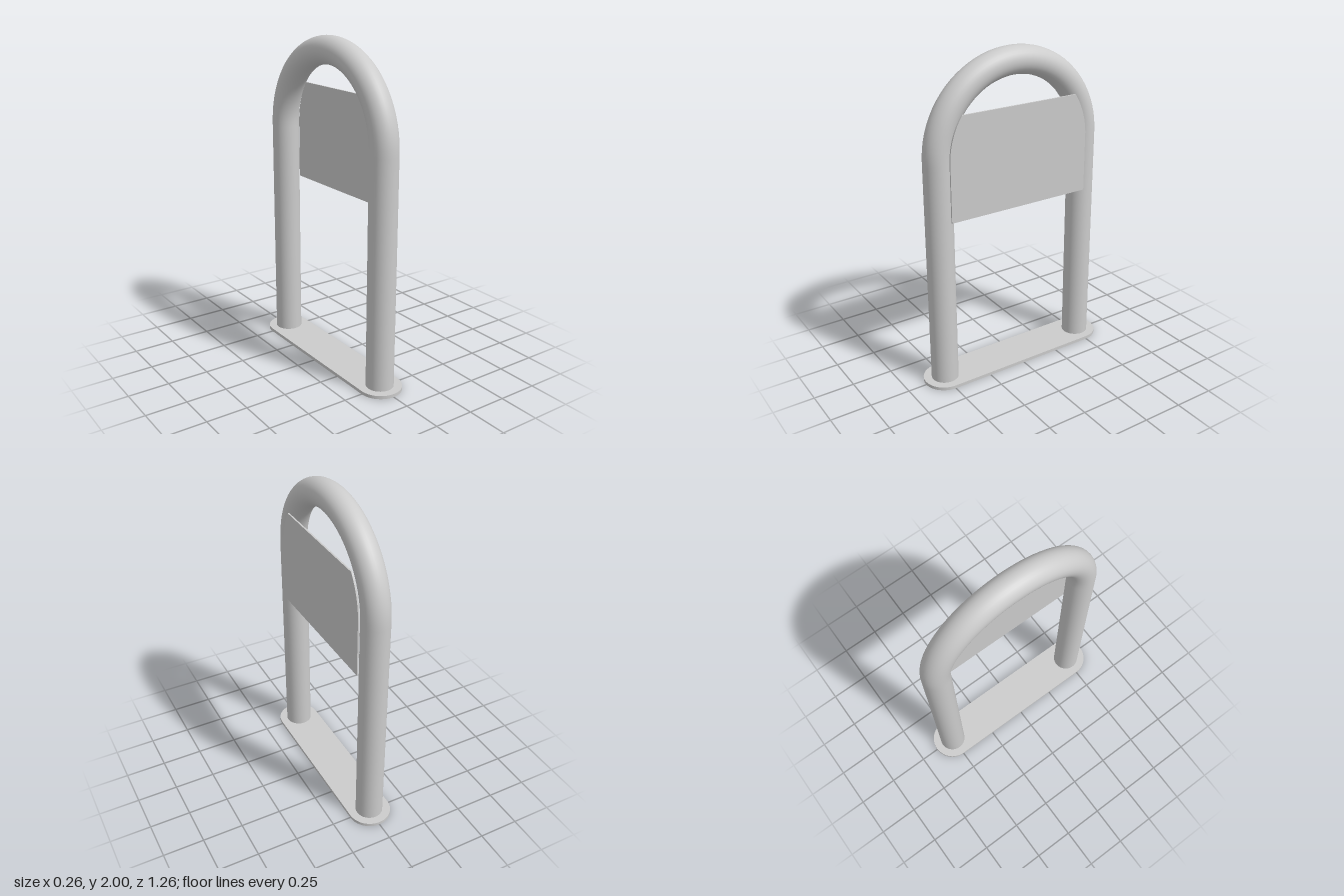
import * as THREE from 'three';

const SPAN = 0.5;      // leg distance from centre
const R = 0.083;       // tube radius
const SPRING = 1.417;  // height where the arch begins

// Half circle in the z-y plane, from +z over the top to -z
class ArchCurve extends THREE.Curve {
  getPoint(t, target = new THREE.Vector3()) {
    const a = Math.PI * t;
    return target.set(0, SPRING + SPAN * Math.sin(a), SPAN * Math.cos(a));
  }
}

export function createModel() {
  const model = new THREE.Group();
  const material = new THREE.MeshStandardMaterial({ color: 0xcccccc });
  const add = (name, geometry) => {
    const mesh = new THREE.Mesh(geometry, material);
    mesh.name = name;
    model.add(mesh);
    return mesh;
  };

  // Bent tube: two legs joined by a round arch
  const path = new THREE.CurvePath();
  const v = (y, z) => new THREE.Vector3(0, y, z);
  path.add(new THREE.LineCurve3(v(0, SPAN), v(SPRING, SPAN)));
  path.add(new ArchCurve());
  path.add(new THREE.LineCurve3(v(SPRING, -SPAN), v(0, -SPAN)));
  add('hoopTube', new THREE.TubeGeometry(path, 110, R, 32, false));

  // Closed undersides of the legs
  for (const side of [1, -1]) {
    const cap = add(side > 0 ? 'frontLegCap' : 'backLegCap', new THREE.CircleGeometry(R, 32));
    cap.rotation.x = Math.PI / 2;
    cap.position.z = side * SPAN;
  }

  // Base plate with rounded ends and a hole for each leg
  const endR = 0.132;
  const plate = new THREE.Shape();
  plate.absarc(0, SPAN, endR, 0, Math.PI, false);
  plate.absarc(0, -SPAN, endR, Math.PI, Math.PI * 2, false);
  plate.closePath();
  for (const side of [1, -1]) {
    plate.holes.push(new THREE.Path().absarc(0, side * SPAN, R, 0, Math.PI * 2, true));
  }
  const plateGeometry = new THREE.ExtrudeGeometry(plate, { depth: 0.02, bevelEnabled: false, curveSegments: 32 });
  plateGeometry.rotateX(-Math.PI / 2);
  add('basePlate', plateGeometry);

  // Thin sign panel on the left face, its upper corners following the arch
  const half = 0.465, bottom = 1.065, top = 1.68;
  const a = Math.asin((top - SPRING) / half);
  const panel = new THREE.Shape();
  panel.moveTo(-half, bottom);
  panel.lineTo(half, bottom);
  panel.absarc(0, SPRING, half, 0, a, false);
  panel.absarc(0, SPRING, half, Math.PI - a, Math.PI, false);
  panel.closePath();
  const panelGeometry = new THREE.ExtrudeGeometry(panel, { depth: 0.01, bevelEnabled: false, curveSegments: 12 });
  panelGeometry.rotateY(Math.PI / 2);
  add('signPanel', panelGeometry).position.x = 0.078;

  return model;
}
